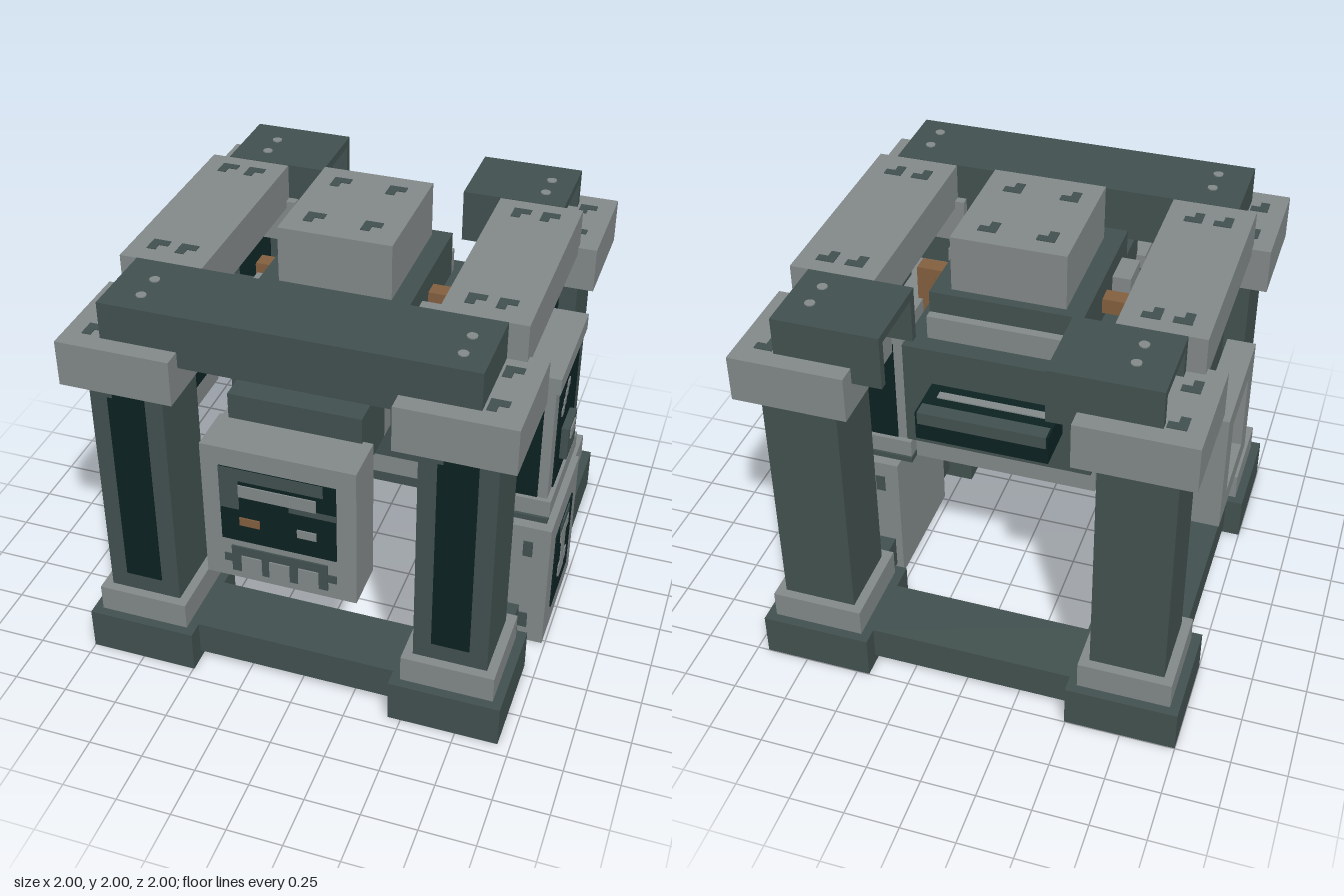
import * as THREE from 'three';

const flat = (hex, name) => {
  const m = new THREE.MeshStandardMaterial({ color: hex });
  m.name = name;
  return m;
};

export function createModel() {
  const model = new THREE.Group();
  const dark = flat(0x425250, 'dark metal');
  const light = flat(0x848a8b, 'light metal');
  const black = flat(0x0d2222, 'black glass');
  const orange = flat(0x84603f, 'copper');

  // Box given by its limits along each axis
  const box = (name, mat, x0, x1, y0, y1, z0, z1) => {
    const mesh = new THREE.Mesh(new THREE.BoxGeometry(x1 - x0, y1 - y0, z1 - z0), mat);
    mesh.position.set((x0 + x1) / 2, (y0 + y1) / 2, (z0 + z1) / 2);
    mesh.name = name;
    model.add(mesh);
    return mesh;
  };
  // Square block around a centre
  const block = (name, mat, cx, cz, r, y0, y1) => box(name, mat, cx - r, cx + r, y0, y1, cz - r, cz + r);
  // Small hooked mark lying on a top face
  const hook = (x, y, z) => {
    box('hookMark', dark, x - 0.04, x + 0.04, y, y + 0.004, z - 0.04, z);
    box('hookMark', dark, x - 0.04, x, y, y + 0.004, z, z + 0.04);
  };
  // Small round rivet on a horizontal face
  const rivet = (x, y, z, mat = light) => {
    const r = new THREE.Mesh(new THREE.CylinderGeometry(0.023, 0.023, 0.006, 10), mat);
    r.position.set(x, y, z);
    r.name = 'rivet';
    model.add(r);
  };

  // Four corner columns
  const C = -0.0275, D = 0.72;
  for (const sx of [-1, 1]) for (const sz of [-1, 1]) {
    const x = C + sx * D, z = C + sz * D;
    block('base', dark, x, z, 0.2525, 0.002, 0.21);
    block('collar', light, x, z, 0.21, 0.21, 0.34);
    block('pillar', dark, x, z, 0.167, 0.34, 1.485);
    block('cap', light, x, z, 0.2525, 1.485, 1.695);
    box('pillarPanel', black, x - 0.085, x + 0.085, 0.43, 1.44, z + 0.167, z + 0.174);
    box('pillarPanelCorner', dark, x - 0.085, x - 0.06, 1.405, 1.44, z + 0.17, z + 0.1755);
    for (const dx of [-1, 1]) for (const dz of [-1, 1]) rivet(x + dx * 0.14, 0.003, z + dz * 0.14);
    for (const dz of [-1, 1]) hook(x + sx * 0.135, 1.695, z + dz * 0.12);
  }

  // Ground beams
  for (const s of [-1, 1]) {
    const c = C + s * 0.742;
    box('groundBeam', dark, -0.5, 0.445, 0.045, 0.21, c - 0.15, c + 0.15);
    box('groundBeam', dark, c - 0.15, c + 0.15, 0.045, 0.21, -0.495, 0.445);
  }

  // Top beams: solid front, light sides, split hollow back
  box('frontBeam', dark, -0.835, 0.775, 1.62, 1.865, 0.48, 0.862);
  for (const [a, b] of [[-0.915, -0.54], [0.483, 0.86]]) {
    box('sideBeam', light, a, b, 1.66, 1.863, -0.535, 0.48);
    const c = (a + b) / 2;
    for (const dx of [-0.065, 0.065]) for (const z of [-0.42, 0.35]) hook(c + dx, 1.863, z);
  }
  for (const [a, b] of [[-0.835, -0.368], [0.31, 0.775]]) {
    box('backBeamTop', dark, a, b, 1.825, 1.865, -0.918, -0.537);
    box('backBeamOuter', dark, a, b, 1.62, 1.825, -0.918, -0.88);
    box('backBeamInner', dark, a, b, 1.62, 1.825, -0.575, -0.537);
  }
  for (const x of [-0.685, 0.665]) for (const z of [-0.77, -0.645, 0.625, 0.755]) rivet(x, 1.867, z);

  // Hanging core: top block, neck, body, underside
  box('topBlock', light, -0.28, 0.225, 1.74, 1.996, -0.325, 0.27);
  for (const x of [-0.16, 0.095]) for (const z of [-0.2, 0.14]) hook(x, 1.996, z);
  box('neck', dark, -0.367, 0.31, 1.53, 1.74, -0.37, 0.355);
  box('neckFrontPlate', light, -0.365, 0.308, 1.53, 1.7, 0.355, 0.36);
  box('neckBackPlate', light, -0.365, 0.31, 1.53, 1.64, -0.41, -0.37);
  box('coreBody', dark, -0.45, 0.395, 1.02, 1.53, -0.495, 0.395);
  box('coreUnderside', light, -0.448, 0.393, 0.85, 1.02, -0.4, 0.3);
  box('coreFoot', light, -0.535, 0.48, 0.83, 0.89, -0.2, 0.15);
  box('coreBand', dark, -0.495, 0.435, 1.02, 1.32, 0.14, 0.31);
  for (const [a, b] of [[-0.45, -0.367], [0.31, 0.395]]) box('neckBlock', light, a, b, 1.53, 1.655, 0.1, 0.265);
  for (const y of [1.21, 1.42]) {
    box('bodyRivet', light, 0.395, 0.4, y - 0.022, y + 0.022, -0.365, -0.32);
    box('bodyRivet', light, -0.455, -0.45, y - 0.022, y + 0.022, -0.365, -0.32);
  }
  box('bodyRivet', light, -0.37, -0.325, 1.4, 1.445, 0.395, 0.4);

  // Copper strap around the core
  box('strapLeft', orange, -0.495, -0.45, 0.89, 1.64, -0.07, 0.01);
  box('strapRight', orange, 0.395, 0.44, 0.89, 1.3, -0.07, 0.01);
  box('strapRightUpper', orange, 0.395, 0.482, 1.28, 1.64, -0.07, 0.01);
  box('strapTop', orange, -0.494, 0.481, 1.575, 1.645, -0.069, 0.009);

  // Front display on its arm
  box('frontArmCollar', light, -0.32, 0.265, 1.19, 1.48, 0.395, 0.48);
  box('frontArm', dark, -0.32, 0.265, 1.19, 1.48, 0.48, 0.78);
  box('frontCase', light, -0.365, 0.31, 0.68, 1.36, 0.765, 0.985);
  box('frontScreen', black, -0.285, 0.225, 0.89, 1.27, 0.985, 0.991);
  box('screenTint', dark, -0.285, -0.2, 1.06, 1.27, 0.99, 0.993);
  box('screenTint', dark, -0.2, 0.17, 1.21, 1.27, 0.99, 0.993);
  box('screenTint', dark, 0.02, 0.225, 1.1, 1.13, 0.99, 0.993);
  box('screenBar', light, -0.2, 0.14, 1.13, 1.19, 0.99, 0.997);
  box('screenLamp', orange, -0.2, -0.11, 0.98, 1.02, 0.99, 0.997);
  box('screenLamp', light, 0.055, 0.14, 0.98, 1.02, 0.99, 0.997);
  box('keyPanel', dark, -0.245, 0.185, 0.72, 0.855, 0.985, 0.992);
  box('keyPanelTabs', dark, -0.28, 0.225, 0.765, 0.805, 0.985, 0.99);
  for (const x of [-0.155, -0.03, 0.1]) box('key', light, x - 0.045, x + 0.045, 0.722, 0.81, 0.99, 0.998);

  // Left display: frame with a sunken screen
  box('leftArm', dark, -0.87, -0.45, 1.19, 1.44, -0.2, 0.145);
  const rect = (P, w, h) => {
    const p = new P();
    p.moveTo(-w, -h).lineTo(w, -h).lineTo(w, h).lineTo(-w, h).closePath();
    return p;
  };
  const outline = rect(THREE.Shape, 0.297, 0.295);
  outline.holes.push(rect(THREE.Path, 0.17, 0.19));
  const frame = new THREE.Mesh(new THREE.ExtrudeGeometry(outline, { depth: 0.13, bevelEnabled: false }), light);
  frame.rotation.y = -Math.PI / 2;
  frame.position.set(-0.87, 1.02, C);
  frame.name = 'leftFrame';
  model.add(frame);
  box('leftScreen', black, -0.94, -0.872, 0.83, 1.21, C - 0.17, C + 0.17);

  // Back control tray
  box('backTray', black, -0.32, 0.265, 1.22, 1.355, -0.705, -0.495);
  box('trayRim', dark, -0.31, 0.255, 1.3, 1.359, -0.709, -0.64);
  box('trayBar', light, -0.27, 0.21, 1.35, 1.361, -0.585, -0.545);
  for (const x of [-0.2, -0.03, 0.14]) box('traySlot', dark, x - 0.05, x + 0.05, 1.216, 1.222, -0.63, -0.58);

  // Right console: lower cabinet
  const K = -0.0245;
  box('cabinet', light, 0.53, 0.986, 0.002, 0.68, K - 0.295, K + 0.295);
  box('cabinetPanel', black, 0.986, 0.993, 0.125, 0.555, -0.195, 0.145);
  box('panelShaft', light, 0.99, 0.997, 0.25, 0.48, -0.06, 0.02);
  box('panelHead', light, 0.99, 0.998, 0.45, 0.51, -0.105, 0.06);
  box('panelFoot', light, 0.99, 0.998, 0.245, 0.31, -0.105, 0.06);
  box('panelFoot', light, 0.99, 0.9975, 0.22, 0.25, -0.07, 0.03);
  box('panelNotch', dark, 0.99, 0.9955, 0.51, 0.555, -0.12, 0.08);
  for (const x of [0.62, 0.885]) for (const y of [0.13, 0.56]) for (const s of [-1, 1]) {
    const z = K + s * 0.296;
    box('cabinetMark', dark, x - 0.022, x + 0.022, y - 0.045, y + 0.04, z - 0.004, z + 0.004);
  }
  for (const x of [0.63, 0.88]) for (const z of [-0.22, 0.17]) rivet(x, 0.003, z, dark);

  // Right console: upper unit with three screens
  box('consoleGap', dark, 0.52, 0.9, 0.68, 0.72, -0.235, 0.185);
  box('consoleSill', dark, 0.455, 0.96, 0.72, 0.748, -0.315, 0.268);
  box('consoleLip', light, 0.46, 0.966, 0.748, 0.832, -0.305, 0.255);
  box('consoleBody', light, 0.482, 0.945, 0.832, 1.405, -0.28, 0.232);
  box('consoleCap', light, 0.46, 0.966, 1.405, 1.482, -0.303, 0.25);
  box('consoleScreen', black, 0.945, 0.952, 0.834, 1.36, -0.235, 0.145);
  for (const s of [-1, 1]) {
    const z = K + s * 0.257;
    box('consoleSideScreen', black, 0.53, 0.9, 0.834, 1.36, z - 0.005, z + 0.005);
  }
  box('consoleButtonBox', dark, 0.95, 0.986, 0.935, 1.1, -0.11, 0.06);
  box('consoleButton', light, 0.985, 0.992, 1.03, 1.085, -0.065, 0.028);
  for (let i = 0; i < 4; i++) {
    const z = 0.08 - i * 0.03, y = 1.21 + i * 0.03;
    box('consoleDash', light, 0.95, 0.957, y - 0.02, y + 0.02, z - 0.022, z + 0.022);
  }
  box('consolePost', dark, 0.58, 0.8, 1.48, 1.62, -0.11, 0.1);
  box('consolePostCap', light, 0.56, 0.82, 1.615, 1.662, -0.13, 0.12);
  return model;
}
